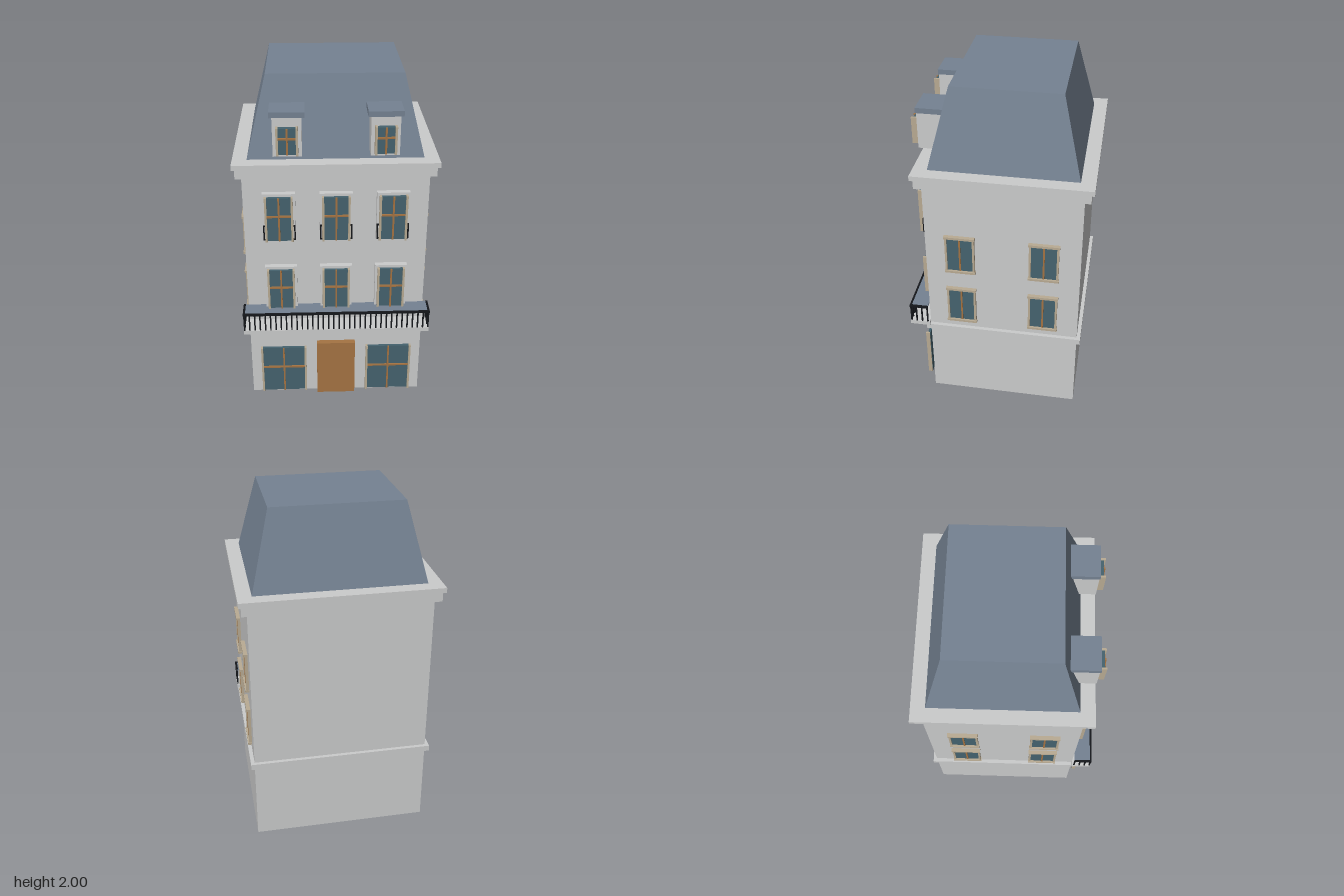
import * as THREE from 'three';

const mat = (name, color) => {
  const m = new THREE.MeshStandardMaterial({ color });
  m.name = name;
  return m;
};

export function createModel() {
  const stone = mat('pale stone', 0xcbcccc);
  const slate = mat('slate', 0x758292);
  const glass = mat('glass', 0x45636f);
  const wood = mat('wood', 0xa57443);
  const trim = mat('beige trim', 0xb9ab93);
  const iron = mat('black iron', 0x15171b);

  const model = new THREE.Group();
  model.name = 'townhouse';
  const ZC = -0.036; // centre of the main block in depth
  const FRONT = 0.403; // front wall plane

  // Box given by its limits on each axis
  function box(parent, name, material, x0, x1, y0, y1, z0, z1) {
    const mesh = new THREE.Mesh(new THREE.BoxGeometry(x1 - x0, y1 - y0, z1 - z0), material);
    mesh.position.set((x0 + x1) / 2, (y0 + y1) / 2, (z0 + z1) / 2);
    mesh.name = name;
    parent.add(mesh);
    return mesh;
  }
  function group(name, x = 0, y = 0, z = 0) {
    const g = new THREE.Group();
    g.name = name;
    g.position.set(x, y, z);
    model.add(g);
    return g;
  }
  const storey = (name, w, d, y0, y1) =>
    box(model, name, stone, -w, w, y0, y1, ZC - d, ZC + d);

  // Main block, belt course and cornice
  storey('walls', 0.513, 0.439, 0, 1.48);
  storey('beltCourse', 0.535, 0.46, 0.485, 0.52);
  storey('lowerCornice', 0.545, 0.474, 1.475, 1.532);
  storey('upperCornice', 0.56, 0.49, 1.532, 1.56);

  // Mansard roof: a box with its top corners drawn inwards
  const roofGeo = new THREE.BoxGeometry(0.96, 0.44, 0.82);
  const p = roofGeo.attributes.position;
  for (let i = 0; i < p.count; i++) {
    if (p.getY(i) > 0) {
      p.setX(i, Math.sign(p.getX(i)) * 0.37);
      p.setZ(i, Math.sign(p.getZ(i)) * 0.3);
    }
  }
  roofGeo.computeVertexNormals();
  const roof = new THREE.Mesh(roofGeo, slate);
  roof.name = 'mansardRoof';
  roof.position.set(0, 1.78, ZC);
  model.add(roof);

  // Front window: pane, side posts, mullion and crossbar; origin at bottom centre
  function frontWindow(name, x, y, z, hw, h, crossY, depth = 0.016) {
    const g = group(name, x, y, z);
    box(g, 'pane', glass, -hw, hw, 0, h, 0, depth);
    for (const s of [-1, 1]) {
      box(g, 'post', trim, s * hw - 0.006, s * hw + 0.006, -0.004, h + 0.004, 0.002, depth + 0.01);
    }
    box(g, 'mullion', wood, -0.005, 0.005, 0, h, depth - 0.002, depth + 0.008);
    box(g, 'crossbar', wood, -hw, hw, crossY - 0.005, crossY + 0.005, depth - 0.002, depth + 0.009);
  }

  // Ground floor: door and two shop windows
  box(model, 'door', wood, -0.115, 0.115, 0, 0.375, FRONT, 0.435);
  for (const s of [-1, 1]) frontWindow('shopWindow', s * 0.315, 0.042, 0.435, 0.13, 0.318, 0.18);

  // Upper floors: stone surrounds with windows
  for (const y of [0.64, 1.1]) {
    for (const x of [-0.315, 0, 0.315]) {
      box(model, 'windowSurround', stone, x - 0.091, x + 0.091, y - 0.014, y + 0.28, FRONT, 0.435);
      frontWindow('frontWindow', x, y, 0.435, 0.072, 0.264, 0.153);
    }
  }

  // Small iron guards at the top floor windows
  for (const x of [-0.315, 0, 0.315]) {
    const g = group('windowGuard', x, 1.1, 0.438);
    for (const y of [0.002, 0.087]) box(g, 'guardRail', iron, -0.088, 0.088, y - 0.004, y + 0.004, -0.004, 0.004);
    for (const s of [-1, 1]) box(g, 'guardPost', iron, s * 0.086 - 0.004, s * 0.086 + 0.004, 0, 0.09, -0.004, 0.004);
  }

  // Balcony: floor slab, slate top plate and iron railing
  const balcony = group('balcony');
  box(balcony, 'balconyFloor', stone, -0.54, 0.54, 0.515, 0.54, FRONT, 0.52);
  box(balcony, 'balconyTop', slate, -0.54, 0.54, 0.645, 0.652, 0.412, 0.518);
  const baluster = (x, z) => box(balcony, 'baluster', iron, x - 0.004, x + 0.004, 0.54, 0.645, z - 0.004, z + 0.004);
  const N = 35;
  for (let i = 0; i <= N; i++) baluster(-0.535 + (1.07 * i) / N, 0.514);
  for (const s of [-1, 1]) {
    for (const z of [0.416, 0.449, 0.482]) baluster(s * 0.535, z);
    box(balcony, 'sideRail', iron, s * 0.535 - 0.006, s * 0.535 + 0.006, 0.642, 0.655, 0.412, 0.519);
  }
  box(balcony, 'frontRail', iron, -0.541, 0.541, 0.642, 0.655, 0.509, 0.52);

  // Side windows, built facing +z and turned to each side wall
  for (const s of [-1, 1]) {
    for (const z of [0.205, -0.27]) {
      for (const y of [0.567, 0.927]) {
        const g = group('sideWindow', s * 0.513, y, z);
        g.rotation.y = (s * Math.PI) / 2;
        box(g, 'pane', glass, -0.075, 0.075, 0.008, 0.235, -0.002, 0.01);
        box(g, 'mullion', wood, -0.005, 0.005, 0.01, 0.233, 0.008, 0.015);
        for (const t of [-1, 1]) box(g, 'jamb', trim, t * 0.078 - 0.006, t * 0.078 + 0.006, 0.01, 0.235, 0, 0.017);
        box(g, 'sill', trim, -0.088, 0.088, 0, 0.013, 0, 0.023);
        box(g, 'lintel', trim, -0.088, 0.088, 0.23, 0.244, 0, 0.023);
      }
    }
  }

  // Roof dormers
  for (const s of [-1, 1]) {
    const x = s * 0.258;
    box(model, 'dormer', stone, x - 0.077, x + 0.077, 1.61, 1.825, 0.3, 0.454);
    box(model, 'dormerCap', slate, x - 0.093, x + 0.093, 1.825, 1.855, 0.3, 0.456);
    frontWindow('dormerWindow', x, 1.63, 0.454, 0.052, 0.146, 0.09, 0.027);
  }

  return model;
}
